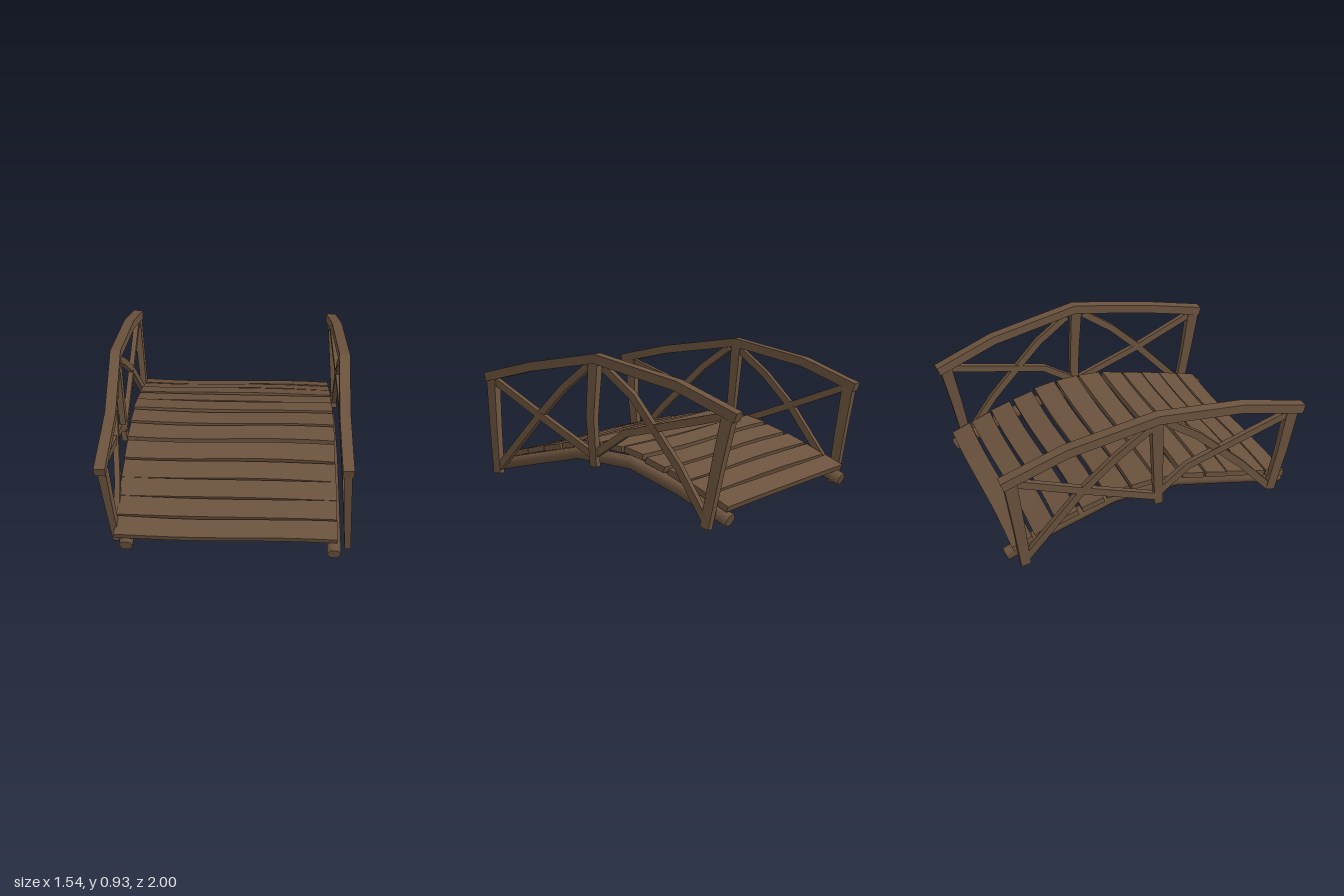
import * as THREE from 'three';
import { toCreasedNormals } from 'three/addons/utils/BufferGeometryUtils.js';

const wood = new THREE.MeshStandardMaterial({ color: 0x6a523d });
wood.name = 'brown wood';

// Linear interpolation through [position, value] pairs sorted by position
function lerpTable(table, p) {
  let i = 0;
  while (i < table.length - 2 && p > table[i + 1][0]) i++;
  const [a, va] = table[i], [b, vb] = table[i + 1];
  return va + (vb - va) * (p - a) / (b - a);
}

// Sweeps a cross-section along a path; across is the direction of the section's first axis
function sweep(name, path, section, across, scale = () => 1, crease = 0.3) {
  const n = section.length, pos = [], idx = [];
  path.forEach((p, i) => {
    const t = new THREE.Vector3();
    if (i > 0) t.add(p.clone().sub(path[i - 1]).normalize());
    if (i < path.length - 1) t.add(path[i + 1].clone().sub(p).normalize());
    t.normalize();
    const u = across.clone().addScaledVector(t, -across.dot(t)).normalize();
    const v = t.clone().cross(u);
    const s = scale(i / (path.length - 1));
    for (const [a, b] of section) {
      const q = p.clone().addScaledVector(u, a * s).addScaledVector(v, b * s);
      pos.push(q.x, q.y, q.z);
    }
  });
  for (let i = 0; i < path.length - 1; i++) {
    for (let j = 0; j < n; j++) {
      const a = i * n + j, b = i * n + (j + 1) % n;
      idx.push(a, b, b + n, a, b + n, a + n);
    }
  }
  const end = (path.length - 1) * n;
  for (let j = 1; j < n - 1; j++) {
    idx.push(0, j + 1, j, end, end + j, end + j + 1);
  }
  const g = new THREE.BufferGeometry();
  g.setAttribute('position', new THREE.Float32BufferAttribute(pos, 3));
  g.setIndex(idx);
  const mesh = new THREE.Mesh(toCreasedNormals(g, crease), wood);
  mesh.name = name;
  return mesh;
}

const rect = (w, h) => [[-w / 2, -h / 2], [w / 2, -h / 2], [w / 2, h / 2], [-w / 2, h / 2]];
const hexagon = r => Array.from({ length: 6 }, (_, i) =>
  [r * Math.cos(i * Math.PI / 3), r * Math.sin(i * Math.PI / 3)]);
const X = new THREE.Vector3(1, 0, 0);

// Each railing: plan gives x along z, the other lists hold [z, y] points
const railings = [
  {
    name: 'leftRailing',
    plan: [[-0.98, 0.647], [-0.59, 0.677], [0, 0.708], [0.53, 0.702], [0.94, 0.717]],
    handrail: [[-0.985, 0.655], [-0.59, 0.80], [0, 0.91], [0.53, 0.82], [0.945, 0.72]],
    endPosts: [[[0.90, 0.72], [0.87, 0.42], [0.83, 0.10]], [[-0.93, 0.66], [-0.87, 0.36], [-0.81, 0.015]]],
    middlePost: [[0.01, 0.89], [0.005, 0.56], [-0.005, 0.26]],
    braces: [
      [[0.91, 0.715], [0.47, 0.515], [-0.01, 0.32]],
      [[0.83, 0.13], [0.47, 0.52], [0.27, 0.71], [0.06, 0.86]],
      [[0, 0.33], [-0.23, 0.485], [-0.92, 0.66]],
      [[-0.06, 0.86], [-0.27, 0.71], [-0.61, 0.34], [-0.81, 0.06]],
    ],
    bulge: 0.03,
  },
  {
    name: 'rightRailing',
    plan: [[-0.95, -0.735], [0, -0.737], [0.57, -0.683], [0.99, -0.685]],
    handrail: [[-0.95, 0.655], [-0.56, 0.79], [0, 0.885], [0.57, 0.80], [0.995, 0.705]],
    endPosts: [[[0.92, 0.70], [0.89, 0.42], [0.84, 0.10]], [[-0.90, 0.66], [-0.86, 0.36], [-0.82, 0.015]]],
    middlePost: [[-0.01, 0.87], [0.01, 0.55], [0.03, 0.25]],
    braces: [
      [[-0.90, 0.66], [-0.47, 0.49], [0.01, 0.31]],
      [[-0.82, 0.06], [-0.47, 0.48], [-0.25, 0.68], [-0.04, 0.83]],
      [[0, 0.32], [0.22, 0.475], [0.92, 0.69]],
      [[0.06, 0.84], [0.27, 0.69], [0.61, 0.36], [0.83, 0.12]],
    ],
    bulge: 0.005,
  },
];

function createRailing(r) {
  const group = new THREE.Group();
  group.name = r.name;
  // Lower points lean slightly towards +x
  const place = (pts, bulge = 0) => pts.map(([z, y], i) => new THREE.Vector3(
    lerpTable(r.plan, z) + 0.065 * Math.max(0, 0.7 - y) + (i === 1 ? bulge : 0), y, z));
  group.add(sweep('handrail', place(r.handrail), rect(0.066, 0.058), X));
  for (const p of r.endPosts) group.add(sweep('endPost', place(p), rect(0.046, 0.072), X, t => 1.08 - 0.24 * t));
  group.add(sweep('middlePost', place(r.middlePost, r.bulge), rect(0.046, 0.07), X, t => 1.05 - 0.3 * t));
  for (const p of r.braces) group.add(sweep('brace', place(p), rect(0.034, 0.046), X));
  return group;
}

export function createModel() {
  const model = new THREE.Group();
  model.name = 'woodenFootbridge';
  for (const r of railings) model.add(createRailing(r));

  // Arched round logs under the deck
  const arch = [[-0.92, 0.06], [-0.58, 0.19], [-0.22, 0.297], [0.2, 0.305], [0.58, 0.215], [0.945, 0.125]];
  for (const [name, xBack, xFront] of [['leftStringer', 0.625, 0.668], ['rightStringer', -0.622, -0.575]]) {
    const path = arch.map(([z, y]) => new THREE.Vector3(
      xBack + (xFront - xBack) * (z + 0.92) / 1.865, y, z));
    model.add(sweep(name, path, hexagon(0.042), X, () => 1, 1.2));
  }

  // Deck planks following the arch, each slightly skewed and wavy
  const deck = new THREE.Group();
  deck.name = 'deck';
  const deckCurve = [[-0.9, 0.13], [-0.55, 0.268], [-0.22, 0.36], [0, 0.376], [0.2, 0.368], [0.55, 0.288], [0.93, 0.182]];
  const planks = [-0.84, -0.695, -0.553, -0.39, -0.23, -0.065, 0.1, 0.273, 0.43, 0.573, 0.712, 0.855];
  planks.forEach((zc, i) => {
    const slope = (lerpTable(deckCurve, zc + 0.06) - lerpTable(deckCurve, zc - 0.06)) / 0.12;
    const across = new THREE.Vector3(0, slope, 1).normalize();
    const yc = lerpTable(deckCurve, zc);
    const path = [];
    for (let k = 0; k <= 8; k++) {
      const s = k / 4 - 1;
      path.push(new THREE.Vector3(
        0.003 + 0.019 * zc + 0.665 * s,
        yc + 0.004 * Math.sin(s * 3 + i),
        zc - 0.015 * s + 0.007 * Math.sin(-s * Math.PI)));
    }
    const width = 0.134 + 0.018 * (1 - Math.abs(zc));
    deck.add(sweep('plank', path, rect(width, 0.036), across,
      t => 1 - 0.05 * Math.sin(t * Math.PI)));
  });
  model.add(deck);
  return model;
}
